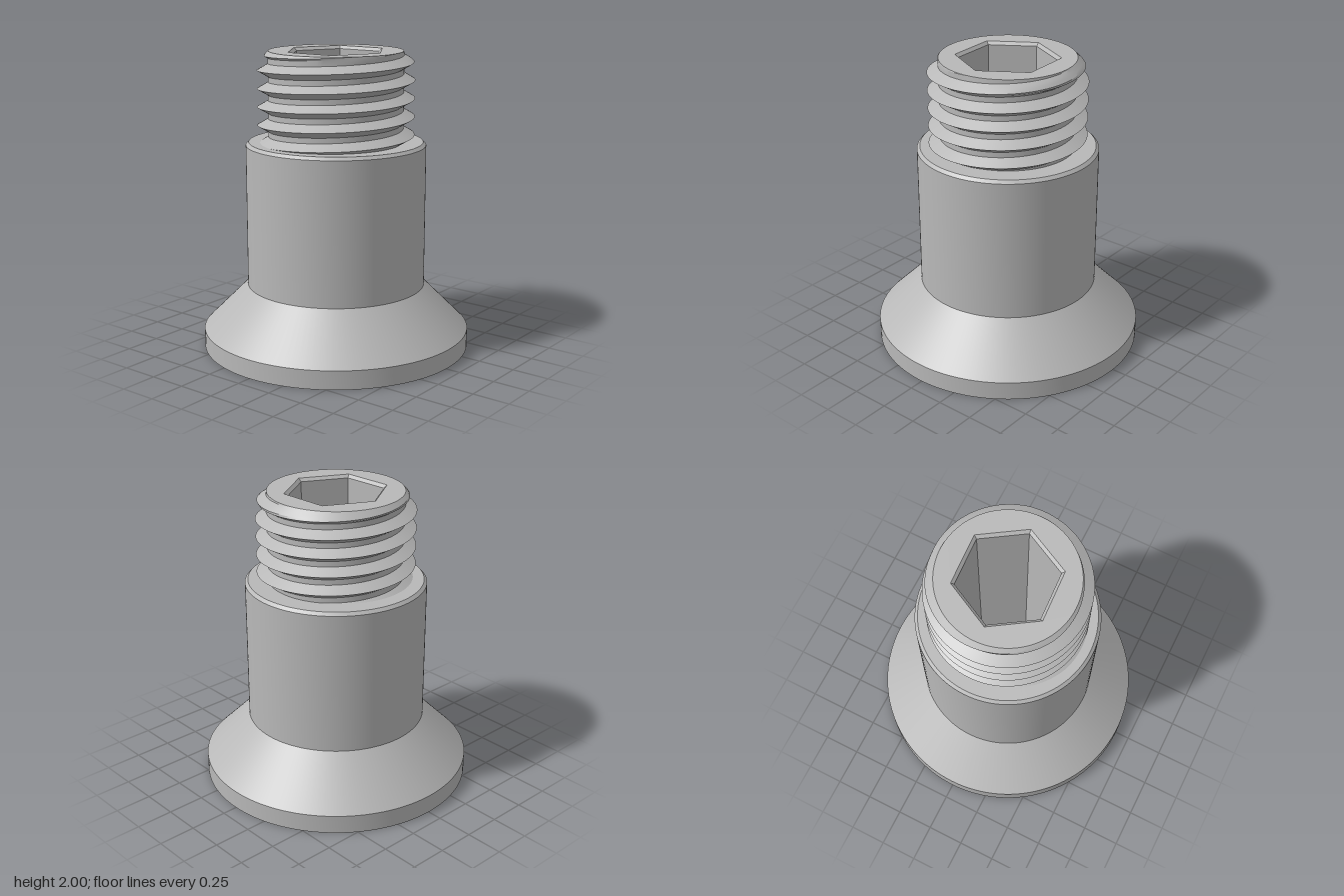
import * as THREE from 'three';
import { toCreasedNormals } from 'three/addons/utils/BufferGeometryUtils.js';

const SEGMENTS = 128;
const HEX_TURN = THREE.MathUtils.degToRad(3);
const HEX_MOUTH = 0.342, HEX_WALL = 0.32;

const lathe = (points, segments = SEGMENTS, start = 0) => toCreasedNormals(
  new THREE.LatheGeometry(points.map(([r, y]) => new THREE.Vector2(r, y)), segments, start), 0.35);

// Flat disc with a hexagonal opening; facing is +1 (up) or -1 (down)
function hexFace(radius, facing) {
  const shape = new THREE.Shape().absarc(0, 0, radius, 0, Math.PI * 2);
  const corners = [];
  for (let i = 0; i < 6; i++) {
    const a = facing * HEX_TURN + i * Math.PI / 3;
    corners.push(new THREE.Vector2(HEX_MOUTH * Math.cos(a), HEX_MOUTH * Math.sin(a)));
  }
  shape.holes.push(new THREE.Path(corners));
  return new THREE.ShapeGeometry(shape, SEGMENTS / 2).rotateX(-facing * Math.PI / 2);
}

// Right-handed helical thread, trimmed flat at both ends and chamfered at the tip
function threadGeometry() {
  const pitch = 0.121, half = 0.0425, root = 0.448, crest = 0.521;
  const bottom = 1.39, top = 2, tipRadius = 0.445;
  const steps = [-1, -0.67, -0.33, 0, 0.33, 0.67, 1].map(s => s * half);
  const rows = [];
  for (let turn = -6; turn <= 2; turn++) for (const s of steps) rows.push([turn * pitch + s, s]);

  const point = ([offset, s], i) => {
    const a = i / SEGMENTS * Math.PI * 2;
    const crestY = 1.92 + pitch * i / SEGMENTS + offset - s;
    const y = THREE.MathUtils.clamp(crestY + s, bottom, top);
    const ridge = Math.max(0, 1 - Math.abs(y - crestY) / half);
    const r = Math.min(root + (crest - root) * ridge, tipRadius + (top - y));
    return new THREE.Vector3(r * Math.cos(a), y, -r * Math.sin(a));
  };

  const triangles = [];
  const add = (a, b, c) => {
    const area = b.clone().sub(a).cross(c.clone().sub(a)).length();
    if (area > 1e-9) triangles.push(a, b, c);
  };
  for (let j = 0; j < rows.length - 1; j++) {
    for (let i = 0; i < SEGMENTS; i++) {
      const a = point(rows[j], i), b = point(rows[j], i + 1);
      const c = point(rows[j + 1], i + 1), d = point(rows[j + 1], i);
      add(a, b, c);
      add(a, c, d);
    }
  }
  return toCreasedNormals(new THREE.BufferGeometry().setFromPoints(triangles), 0.4);
}

export function createModel() {
  const group = new THREE.Group();
  const steel = new THREE.MeshStandardMaterial({ color: 0xb8b8b8 });
  steel.name = 'steel grey';
  const add = (name, geometry) => {
    const mesh = new THREE.Mesh(geometry, steel);
    mesh.name = name;
    group.add(mesh);
    return mesh;
  };

  // Countersunk head and shoulder, with the seam ring around the core underneath
  add('headAndShoulder', lathe([
    [0.485, 0], [0.49, 0.03], [0.515, 0.03], [0.515, 0],
    [0.9, 0], [0.9, 0.125], [0.6, 0.425], [0.6, 1.38], [0.58, 1.4], [0.43, 1.4],
  ]));

  add('thread', threadGeometry());

  // Through hexagonal socket with chamfered mouths
  add('hexSocket', lathe([
    [HEX_MOUTH, 2], [HEX_WALL, 1.98], [HEX_WALL, 0.02], [HEX_MOUTH, 0],
  ], 6, Math.PI / 2 + HEX_TURN));

  add('tipFace', hexFace(0.445, 1)).position.y = 2;
  add('coreBottomFace', hexFace(0.485, -1));

  return group;
}
